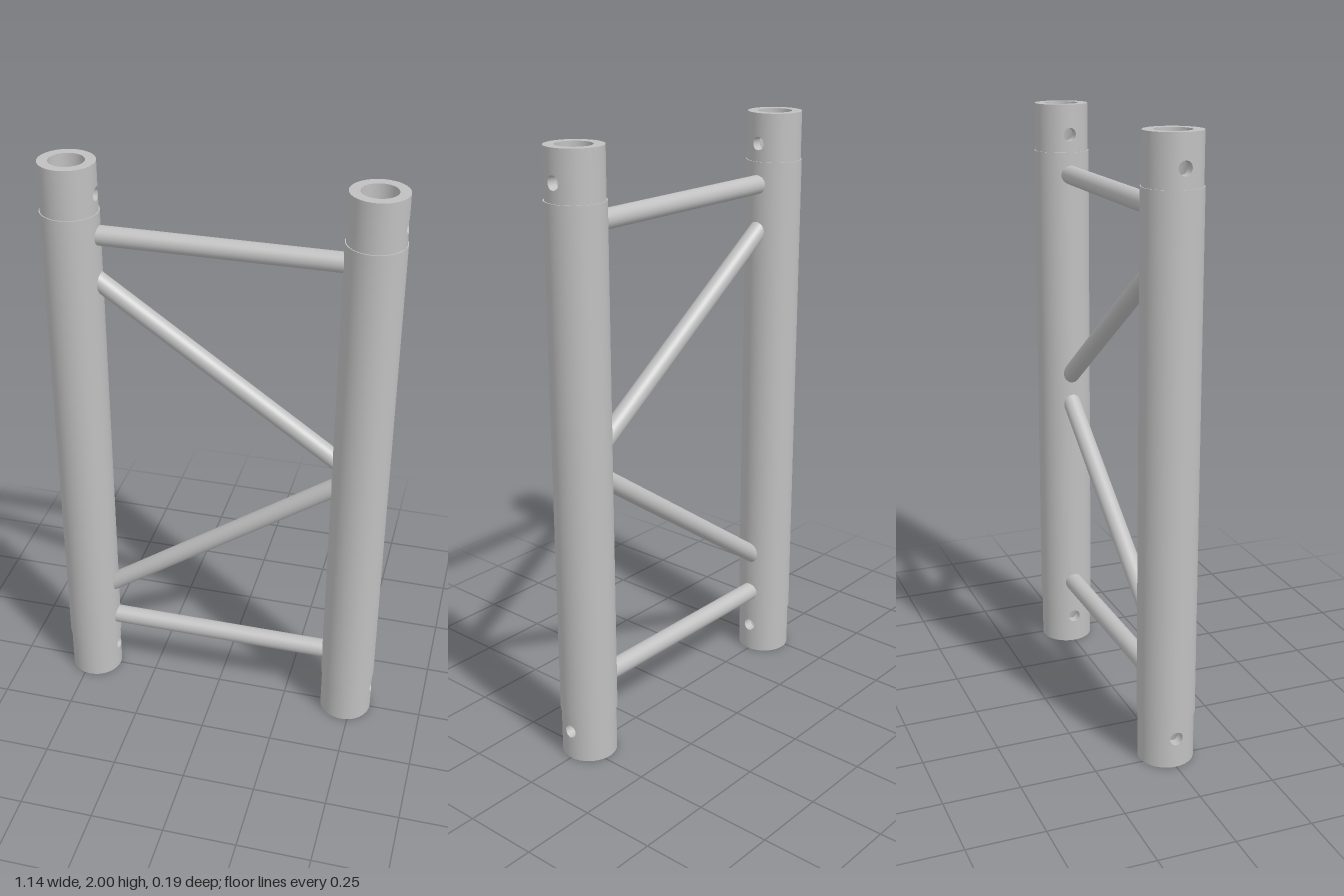
import * as THREE from 'three';
import { mergeGeometries } from 'three/addons/utils/BufferGeometryUtils.js';

const CHORD_X = 0.478;   // tube axis offset
const R_MAIN = 0.094;    // main tube radius
const R_END = 0.0905;    // turned-down end radius
const R_BORE = 0.057;    // hollow core radius
const END_H = 0.16;      // length of each turned-down end
const HOLE_Y = 0.1;      // pin hole height above the tube end
const HOLE_R = 0.022;
const SIDE = 8;          // points along each side of a pierced patch

// Surface of revolution between two (radius, height) points
function band(r0, y0, r1, y1, start = 0, length = Math.PI * 2) {
  const segments = Math.round(64 * length / (Math.PI * 2));
  const g = new THREE.LatheGeometry([new THREE.Vector2(r0, y0), new THREE.Vector2(r1, y1)], segments, start, length);
  g.deleteAttribute('uv');
  return g;
}

// Closed loops of points joined into a strip; point(row, col) returns [position, normal]
function loops(rows, cols, point, flip) {
  const pos = [], nor = [], index = [];
  for (let j = 0; j <= rows; j++) {
    for (let i = 0; i < cols; i++) {
      const [p, n] = point(j, i);
      pos.push(...p);
      nor.push(...n);
      if (j === rows) continue;
      const a = j * cols + i, b = j * cols + (i + 1) % cols;
      const c = b + cols, d = a + cols;
      if (flip) index.push(a, c, b, a, d, c);
      else index.push(a, b, c, a, c, d);
    }
  }
  const g = new THREE.BufferGeometry();
  g.setAttribute('position', new THREE.Float32BufferAttribute(pos, 3));
  g.setAttribute('normal', new THREE.Float32BufferAttribute(nor, 3));
  g.setIndex(index);
  return g;
}

// Point on the rectangular border of a patch, as [z, y]
function border(r, i) {
  const a = r * Math.SQRT1_2;
  const corners = [[-a, 0], [a, 0], [a, END_H], [-a, END_H]];
  const s = Math.floor(i / SIDE), t = (i % SIDE) / SIDE;
  const p = corners[s], q = corners[(s + 1) % 4];
  return [p[0] + (q[0] - p[0]) * t, p[1] + (q[1] - p[1]) * t];
}

// Matching point on the pin hole rim, as [z, y]
function rim(i) {
  const [z, y] = border(R_END, i);
  const angle = Math.atan2(y - HOLE_Y, z);
  return [HOLE_R * Math.cos(angle), HOLE_Y + HOLE_R * Math.sin(angle)];
}

// Quarter of a tube wall around the pin hole
function piercedPatch(r, inward) {
  const rows = 6, sign = inward ? -1 : 1;
  return loops(rows, SIDE * 4, (j, i) => {
    const h = rim(i), b = border(r, i), t = j / rows;
    const z = h[0] + (b[0] - h[0]) * t, y = h[1] + (b[1] - h[1]) * t;
    const x = Math.sqrt(r * r - z * z);
    return [[x, y, z], [sign * x / r, 0, sign * z / r]];
  }, inward);
}

// Wall of the pin hole, from the bore to the outside
function holeWall() {
  return loops(1, SIDE * 4, (j, i) => {
    const [z, y] = rim(i), r = j ? R_END : R_BORE;
    return [[Math.sqrt(r * r - z * z), y, z], [0, (HOLE_Y - y) / HOLE_R, -z / HOLE_R]];
  }, false);
}

// Hollow tube end with a pin hole through both sides
function tubeEndGeometry() {
  const parts = [band(R_BORE, 0, R_END, 0)];
  for (const turn of [0, Math.PI]) {
    parts.push(
      band(R_END, 0, R_END, END_H, turn - Math.PI / 4, Math.PI / 2),
      band(R_BORE, END_H, R_BORE, 0, turn - Math.PI / 4, Math.PI / 2),
      piercedPatch(R_END, false).rotateY(turn),
      piercedPatch(R_BORE, true).rotateY(turn),
      holeWall().rotateY(turn)
    );
  }
  return mergeGeometries(parts);
}

// Main length of the tube with its bore and end steps
function mainTubeGeometry() {
  const top = 2 - END_H;
  return mergeGeometries([
    band(R_MAIN, END_H, R_MAIN, top),
    band(R_BORE, top, R_BORE, END_H),
    band(R_MAIN, top, R_END, top),
    band(R_END, END_H, R_MAIN, END_H)
  ]);
}

export function createModel() {
  const model = new THREE.Group();
  model.name = 'ladderTruss';
  const aluminium = new THREE.MeshStandardMaterial({ color: 0xc0c0c0 });
  aluminium.name = 'aluminium';

  // Two upright tubes
  const mainGeo = mainTubeGeometry();
  const endGeo = tubeEndGeometry();
  for (const [name, side] of [['left', 1], ['right', -1]]) {
    const chord = new THREE.Group();
    chord.name = name + 'Upright';
    const tube = new THREE.Mesh(mainGeo, aluminium);
    tube.name = name + 'MainTube';
    const bottom = new THREE.Mesh(endGeo, aluminium);
    bottom.name = name + 'BottomEnd';
    const top = new THREE.Mesh(endGeo, aluminium);
    top.name = name + 'TopEnd';
    top.rotation.x = Math.PI;
    top.position.y = 2;
    chord.add(tube, bottom, top);
    chord.position.x = side * CHORD_X;
    model.add(chord);
  }

  // Rungs and diagonal braces: height at the right tube, height at the left tube
  const reach = 0.404;
  const struts = [
    ['topRung', 1.764, 1.764, 0.032],
    ['upperBrace', 1.614, 1.048, 0.031],
    ['lowerBrace', 0.388, 0.954, 0.031],
    ['bottomRung', 0.242, 0.242, 0.032]
  ];
  for (const [name, y0, y1, r] of struts) {
    const dir = new THREE.Vector3(reach * 2, y1 - y0, 0);
    const strut = new THREE.Mesh(new THREE.CylinderGeometry(r, r, dir.length(), 32), aluminium);
    strut.name = name;
    strut.position.y = (y0 + y1) / 2;
    strut.quaternion.setFromUnitVectors(new THREE.Vector3(0, 1, 0), dir.normalize());
    model.add(strut);
  }
  return model;
}
